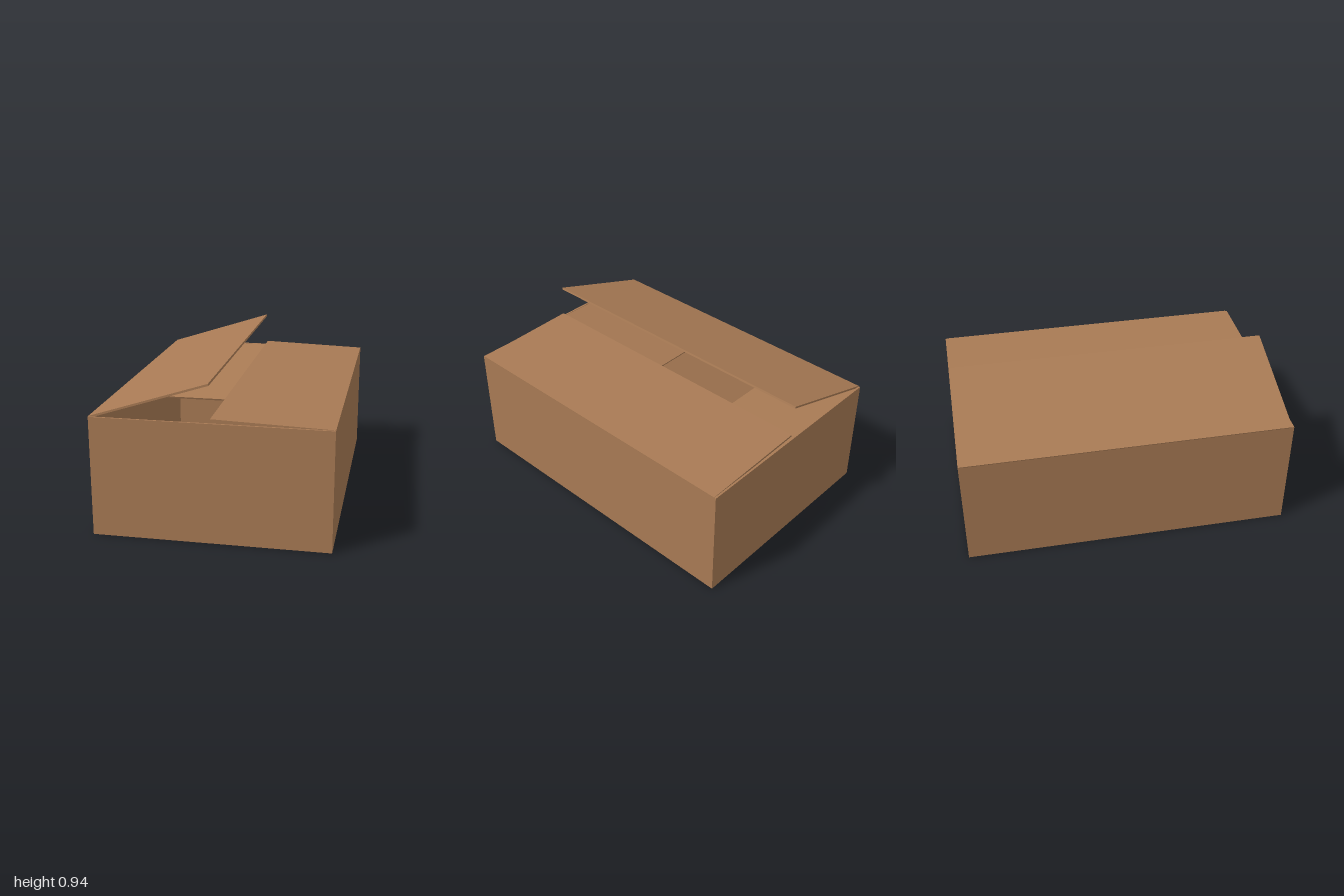
import * as THREE from 'three';

const HALF_W = 0.695, HALF_D = 1, HEIGHT = 0.715, T = 0.012;

export function createModel() {
  const model = new THREE.Group();
  model.name = 'cardboardBox';
  const cardboard = new THREE.MeshStandardMaterial({ color: 0xa87a54 });
  cardboard.name = 'cardboard';

  const add = (name, geometry, x = 0, y = 0, z = 0) => {
    const mesh = new THREE.Mesh(geometry, cardboard);
    mesh.name = name;
    mesh.position.set(x, y, z);
    model.add(mesh);
    return mesh;
  };
  const panel = (name, w, h, d, x, y, z) => add(name, new THREE.BoxGeometry(w, h, d), x, y, z);

  const innerD = HALF_D - T;

  // Front and back walls, and the tapered inner flaps that sag into the box
  for (const [side, s] of [['front', 1], ['back', -1]]) {
    panel(side + 'Wall', HALF_W * 2, HEIGHT, T, 0, HEIGHT / 2, s * (HALF_D - T / 2));

    const length = 0.72, hinge = HALF_W - 0.006, tip = 0.61;
    const outline = new THREE.Shape([
      new THREE.Vector2(-hinge, 0), new THREE.Vector2(hinge, 0),
      new THREE.Vector2(tip, length), new THREE.Vector2(-tip, length),
    ]);
    const flap = new THREE.ExtrudeGeometry(outline, { depth: T, bevelEnabled: false });
    flap.rotateX(-Math.PI / 2 - 0.355);
    if (s < 0) flap.rotateY(Math.PI);
    add(side + 'InnerFlap', flap, 0, HEIGHT - T, s * (HALF_D - 0.004));

    // Bottom inner flaps lying on the floor
    panel(side + 'BottomInnerFlap', (HALF_W - T) * 2, T, 0.67, 0, T * 1.5, s * (innerD - 0.335));
  }

  // Side walls and the two floor panels that meet along the middle
  for (const [side, s] of [['left', 1], ['right', -1]]) {
    panel(side + 'Wall', T, HEIGHT - T, innerD * 2, s * (HALF_W - T / 2), (HEIGHT + T) / 2, 0);
    const width = HALF_W - 0.002;
    panel(side + 'FloorPanel', width, T, innerD * 2, s * (HALF_W - width / 2), T / 2, 0);
  }

  // Outer top flaps, hinged on the side walls and lifted by different angles
  for (const [side, s, rise] of [['left', 1, 0.022], ['right', -1, 0.222]]) {
    const run = HALF_W - 0.004;
    const flap = new THREE.BoxGeometry(Math.hypot(run, rise), T, innerD * 2);
    const mesh = add(side + 'TopFlap', flap, s * (HALF_W - run / 2), HEIGHT - T / 2 + 0.002 + rise / 2, 0);
    mesh.rotation.z = -s * Math.atan2(rise, run);
  }

  return model;
}
